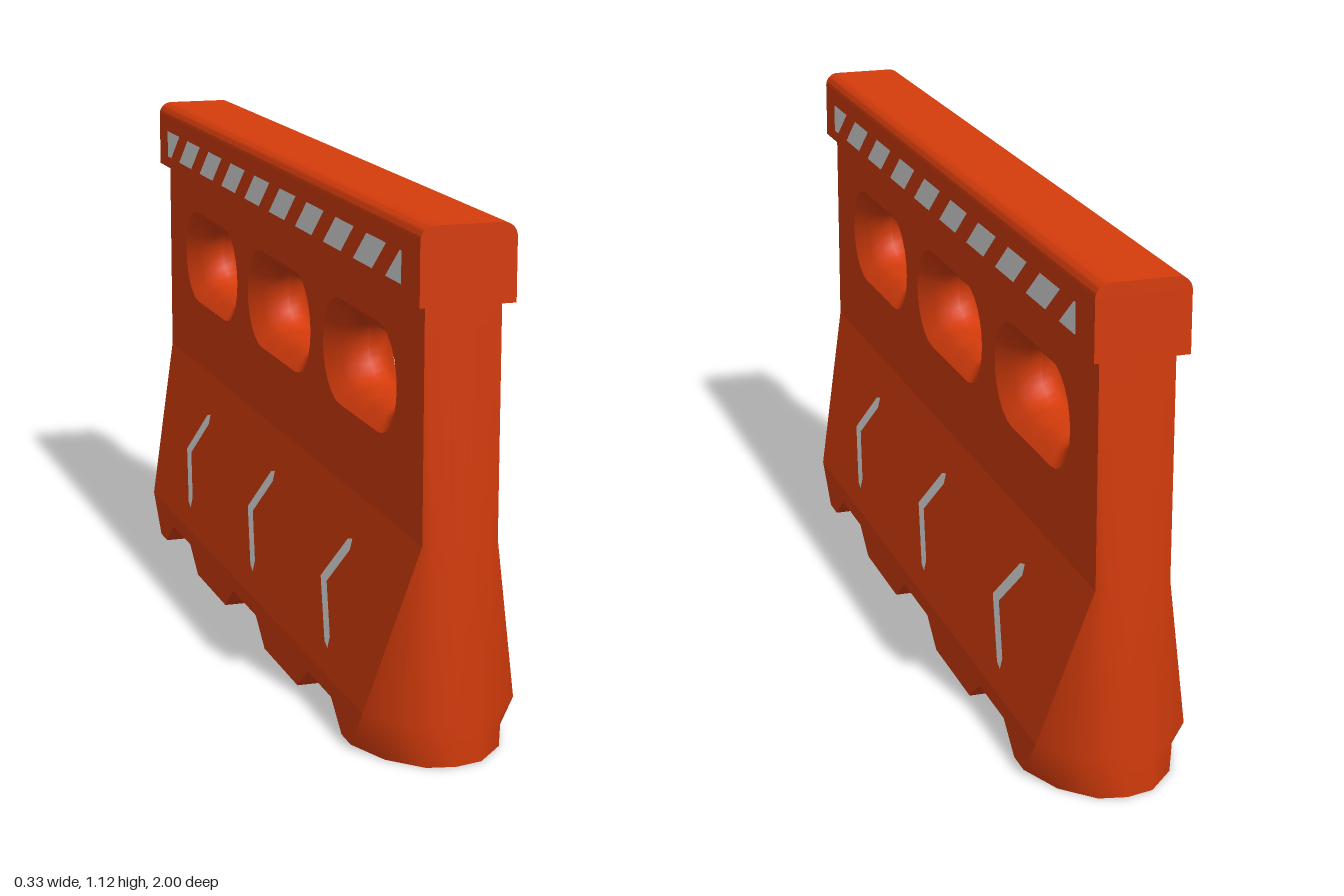
import * as THREE from 'three';
import { toCreasedNormals } from 'three/addons/utils/BufferGeometryUtils.js';

const WAIST = 0.475, SKIRT = 0.095, TOP = 0.96;
const THIN = 0.08, WIDE = 0.165, END = 0.975;
const HOLE_Y = 0.758;

// half width of the body at height y
const sideX = (y) => THREE.MathUtils.lerp(WIDE, THIN,
  THREE.MathUtils.clamp((y - SKIRT) / (WAIST - SKIRT), 0, 1));

// surface through equal-length rows of [x, y, z] points
function grid(rows) {
  const n = rows[0].length, index = [];
  for (let r = 0; r < rows.length - 1; r++) {
    for (let c = 0; c < n - 1; c++) {
      const a = r * n + c, d = a + n;
      index.push(a, d, d + 1, a, d + 1, a + 1);
    }
  }
  const geo = new THREE.BufferGeometry();
  geo.setAttribute('position', new THREE.Float32BufferAttribute(rows.flat(2), 3));
  geo.setIndex(index);
  geo.computeVertexNormals();
  return geo;
}

const toShape = (points) => new THREE.Shape(points.map(([u, y]) => new THREE.Vector2(u, y)));

// plate drawn in (u = -z, y) and laid on the +x face
function sidePlate(points, xAt, holes = []) {
  const shape = toShape(points);
  holes.forEach((h) => shape.holes.push(new THREE.Path(h.map(([u, y]) => new THREE.Vector2(u, y)))));
  const geo = new THREE.ShapeGeometry(shape);
  const p = geo.attributes.position;
  for (let i = 0; i < p.count; i++) p.setXYZ(i, xAt(p.getY(i)), p.getY(i), -p.getX(i));
  geo.computeVertexNormals();
  return geo;
}

// closed counter-clockwise stadium outline, starting mid-way along the bottom
function stadium(u, halfLength, r) {
  const pts = [[u, HOLE_Y - r]], steps = 12, s = halfLength - r;
  for (const side of [1, -1]) {
    for (let i = 0; i <= steps; i++) {
      const a = Math.PI * (i / steps - 0.5);
      pts.push([u + side * (s + r * Math.cos(a)), HOLE_Y + side * r * Math.sin(a)]);
    }
  }
  return [...pts, pts[0]];
}

export function createModel() {
  const orange = new THREE.MeshStandardMaterial({ color: 0xd63c0c });
  orange.name = 'orange plastic';
  const white = new THREE.MeshStandardMaterial({ color: 0xe2e2e2 });
  white.name = 'reflective white';

  const model = new THREE.Group();
  model.name = 'roadBarrier';
  const add = (parent, name, geo, mat = orange) => {
    const mesh = new THREE.Mesh(geo, mat);
    mesh.name = name;
    parent.add(mesh);
  };

  // profile of the underside along z, with three drainage notches
  const base = [[0.79, 0]];
  for (const [c, wide, narrow] of [[0.575, 0.155, 0.083], [0, 0.166, 0.096], [-0.575, 0.155, 0.083]]) {
    base.push([c + wide, 0], [c + narrow, 0.058], [c - narrow, 0.058], [c - wide, 0]);
  }
  base.push([-0.79, 0]);
  const underside = grid(base.map(([z, y]) => [[-WIDE, y, z], [WIDE, y, z]])).toNonIndexed();
  underside.computeVertexNormals();
  add(model, 'underside', underside);

  // rounded top rail
  const w = 0.1, h = 1.12, r = 0.03;
  const rail = new THREE.Shape();
  rail.moveTo(-w, TOP);
  rail.lineTo(w, TOP);
  rail.lineTo(w, h - r);
  rail.absarc(w - r, h - r, r, 0, Math.PI / 2);
  rail.absarc(r - w, h - r, r, Math.PI / 2, Math.PI);
  rail.closePath();
  const railGeo = new THREE.ExtrudeGeometry(rail, { depth: 2, bevelEnabled: false, curveSegments: 6 });
  railGeo.translate(0, 0, -1);
  add(model, 'topRail', toCreasedNormals(railGeo, 0.6));

  // half outlines of the rounded end, [x, z], from the corner to the middle
  const endRows = [
    [TOP, [[0.08, END], [0.055, END], [0.025, END], [0, END]]],
    [WAIST, [[0.08, END], [0.055, END], [0.025, END], [0, END]]],
    [SKIRT, [[WIDE, 0.865], [0.11, 0.935], [0.05, 0.97], [0, END]]],
    [0, [[WIDE, 0.79], [0.125, 0.89], [0.06, 0.957], [0, 0.97]]],
  ].map(([y, half]) => [
    ...half.map(([x, z]) => [-x, y, z]),
    ...half.slice(0, -1).reverse().map(([x, z]) => [x, y, z]),
  ]);

  const windows = [[-0.5775, 0.24, 0.16], [0, 0.248, 0.17], [0.5775, 0.24, 0.16]];

  // each half holds one long face and one end; the second is turned about y
  for (const [name, turn] of [['leftHalf', 0], ['rightHalf', Math.PI]]) {
    const half = new THREE.Group();
    half.name = name;
    half.rotation.y = turn;
    model.add(half);

    // long face: upright wall, sloped flank and skirt
    add(half, 'upperWall', sidePlate(
      [[-END, WAIST], [END, WAIST], [END, TOP], [-END, TOP]], sideX,
      windows.map(([u, outer]) => stadium(u, outer, 0.116).slice(0, -1))));
    add(half, 'slopedFlank', sidePlate(
      [[-0.865, SKIRT], [0.865, SKIRT], [END, WAIST], [-END, WAIST]], sideX));
    add(half, 'skirt', sidePlate(
      [...base.map(([z, y]) => [-z, y]), [0.865, SKIRT], [-0.865, SKIRT]], () => WIDE));

    // funnel-shaped hand holes, down to the middle plane
    for (const [u, outer, inner] of windows) {
      const rings = [[0.08, outer, 0.116], [0.055, (outer + inner) / 2 - 0.008, 0.089],
        [0.03, inner, 0.074], [0, inner, 0.074]];
      add(half, 'handHole', grid(rings.map(([x, len, rad]) =>
        stadium(u, len, rad).reverse().map(([v, y]) => [x, y, -v]))));
    }

    // rounded end and its foot
    add(half, 'endWall', grid(endRows));
    const foot = new THREE.ShapeGeometry(toShape(endRows[3].map(([x, , z]) => [x, z])));
    add(half, 'endFoot', foot.rotateX(Math.PI / 2));

    // slanted reflective stripes, clipped to the ends of the band
    const lo = 0.99, hi = 1.057, slant = 0.085, width = 0.12, lim = 0.905;
    for (let i = 0; i < 10; i++) {
      const u = -0.99 + i * 0.2;
      let pts = [[u, lo], [u + width, lo], [u + width + slant, hi], [u + slant, hi]];
      if (i === 0) pts = [[-lim, lo], [u + width, lo], [u + width + slant, hi], [-lim, hi]];
      if (i === 9) {
        const yCut = lo + (hi - lo) * (lim - u) / slant;
        pts = [[u, lo], [lim, lo], [lim, Math.min(yCut, hi)], [u + slant, hi]];
      }
      add(half, 'railStripe', sidePlate(pts, () => w + 0.004), white);
    }

    // arrow marks on the sloped flank
    for (const u of [-0.642, -0.083, 0.48]) {
      const arrow = [[0, 0.27], [0.105, 0.158], [0.13, 0.15], [0.13, 0.175],
        [0.042, 0.27], [0.135, 0.365], [0.135, 0.39], [0.11, 0.383]];
      add(half, 'arrowMark', sidePlate(arrow.map(([d, y]) => [u + d, y]), (y) => sideX(y) + 0.005), white);
    }
  }
  return model;
}
